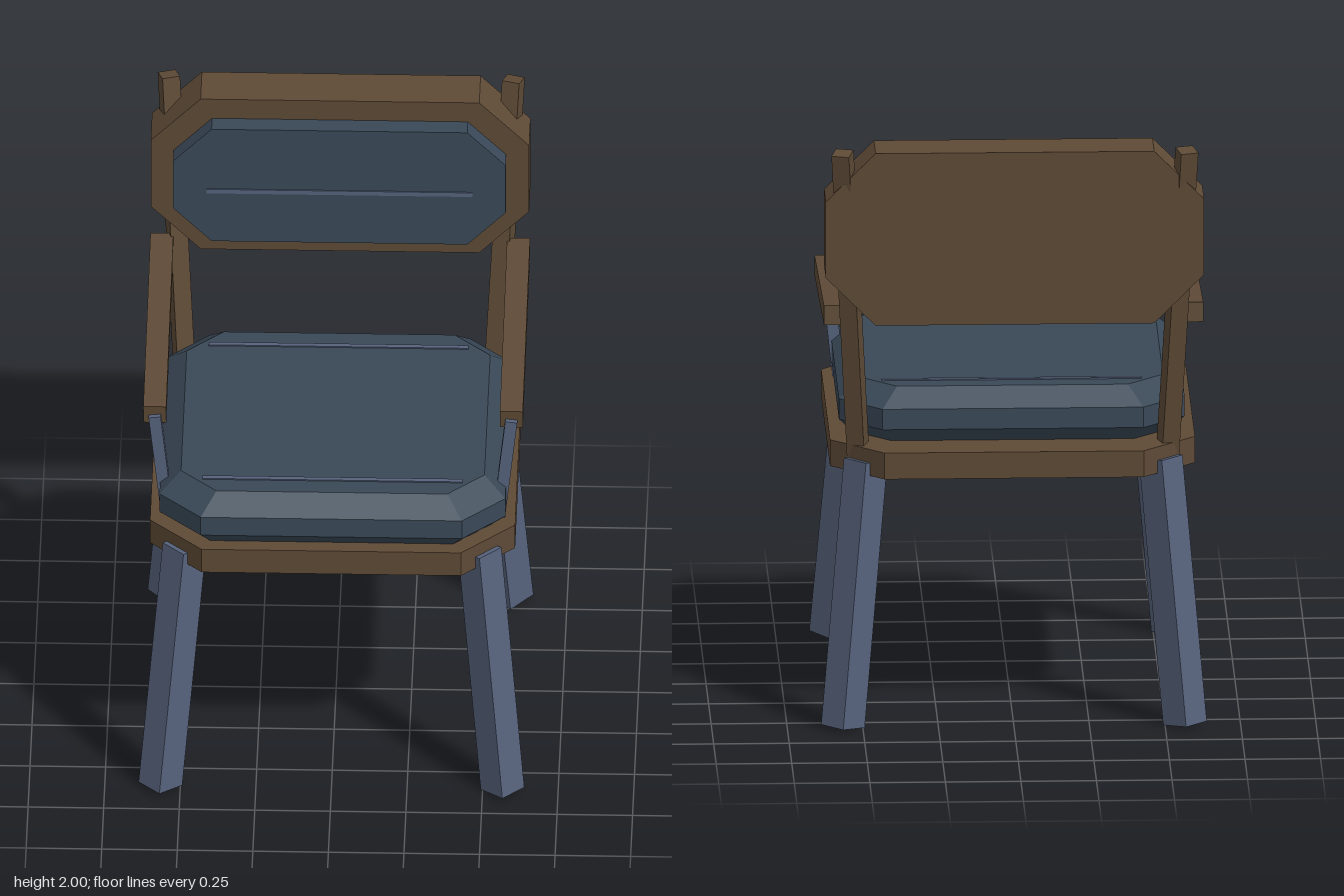
import * as THREE from 'three';

const mat = (name, color) => {
  const m = new THREE.MeshStandardMaterial({ color });
  m.name = name;
  return m;
};

// Eight-sided outline: a rectangle with its corners cut
function octagon(hx, hz, c) {
  return [
    [hx, -hz + c], [hx, hz - c], [hx - c, hz], [-hx + c, hz],
    [-hx, hz - c], [-hx, -hz + c], [-hx + c, -hz], [hx - c, -hz],
  ];
}

// Stack of octagons along y; each ring is [y, inset, corner cut]
function loft(hx, hz, rings) {
  const loops = rings.map(([y, inset, c]) =>
    octagon(hx - inset, hz - inset, c).map(([x, z]) => new THREE.Vector3(x, y, z)));
  const pos = [];
  const tri = (...pts) => pts.forEach((p) => pos.push(p.x, p.y, p.z));
  for (let r = 0; r < loops.length - 1; r++) {
    for (let i = 0; i < 8; i++) {
      const j = (i + 1) % 8;
      const a = loops[r][i], b = loops[r][j], c = loops[r + 1][j], d = loops[r + 1][i];
      tri(a, c, b);
      tri(a, d, c);
    }
  }
  const first = loops[0], last = loops[loops.length - 1];
  for (let i = 1; i < 7; i++) {
    tri(first[0], first[i], first[i + 1]);
    tri(last[0], last[i + 1], last[i]);
  }
  const g = new THREE.BufferGeometry();
  g.setAttribute('position', new THREE.Float32BufferAttribute(pos, 3));
  g.computeVertexNormals();
  return g;
}

// Box running from one point to another, its width kept horizontal
function beam(from, to, width, depth) {
  const a = new THREE.Vector3(...from), b = new THREE.Vector3(...to);
  const dir = b.clone().sub(a);
  const g = new THREE.BoxGeometry(width, dir.length(), depth);
  dir.normalize();
  const side = new THREE.Vector3().crossVectors(dir, new THREE.Vector3(0, 1, 0)).normalize();
  const third = new THREE.Vector3().crossVectors(side, dir);
  const m = new THREE.Matrix4().makeBasis(side, dir, third);
  m.setPosition(a.add(b).multiplyScalar(0.5));
  return g.applyMatrix4(m);
}

export function createModel() {
  const chair = new THREE.Group();
  chair.name = 'armchair';
  const wood = mat('brown wood', 0x5e4a36);
  const fabric = mat('dark blue fabric', 0x394857);
  const metal = mat('grey blue', 0x56627c);

  const add = (name, geometry, material, x = 0, y = 0, z = 0) => {
    const mesh = new THREE.Mesh(geometry, material);
    mesh.name = name;
    mesh.position.set(x, y, z);
    chair.add(mesh);
  };

  // Seat
  add('seatFrame', loft(0.604, 0.614, [[0.86, 0, 0.175], [0.95, 0, 0.175]]), wood, 0, 0, 0.02);
  add('seatCushion', loft(0.572, 0.555, [
    [0.95, 0.045, 0.125], [1.0, 0, 0.14], [1.07, 0, 0.14], [1.13, 0.07, 0.12],
  ]), fabric, 0, 0, 0.07);
  for (const z of [-0.337, 0.477]) {
    add('seatPiping', new THREE.BoxGeometry(0.86, 0.008, 0.018), metal, 0, 1.13, z);
  }

  // Backrest, lofted upward and then turned to face forward
  const backFrame = loft(0.626, 0.295, [[-0.658, 0, 0.165], [-0.492, 0, 0.165]]);
  add('backFrame', backFrame.rotateX(Math.PI / 2), wood, 0, 1.7, 0);
  const backPad = loft(0.55, 0.22, [[-0.495, 0, 0.127], [-0.425, 0, 0.127]]);
  add('backPad', backPad.rotateX(Math.PI / 2), fabric, 0, 1.7, 0);
  add('backPiping', new THREE.BoxGeometry(0.88, 0.016, 0.008), metal, 0, 1.678, -0.425);

  // Parts on both sides
  for (const s of [-1, 1]) {
    const side = s > 0 ? 'left' : 'right';
    add(side + 'BackPost', beam([s * 0.51, 0.865, -0.45], [s * 0.57, 1.994, -0.643], 0.06, 0.06), wood);
    add(side + 'Armrest', beam([s * 0.59, 1.325, 0.397], [s * 0.59, 1.408, -0.533], 0.076, 0.066), wood);
    add(side + 'ArmSupport', beam([s * 0.547, 0.93, 0.395], [s * 0.59, 1.325, 0.395], 0.04, 0.04), metal);
    // Splayed legs, turned to the diagonals
    for (const [name, z, dz] of [['FrontLeg', 0.528, 0.078], ['BackLeg', -0.488, -0.078]]) {
      add(side + name, beam([s * 0.566, 0.007, z + dz], [s * 0.488, 0.9, z], 0.1, 0.105), metal);
    }
  }
  return chair;
}
